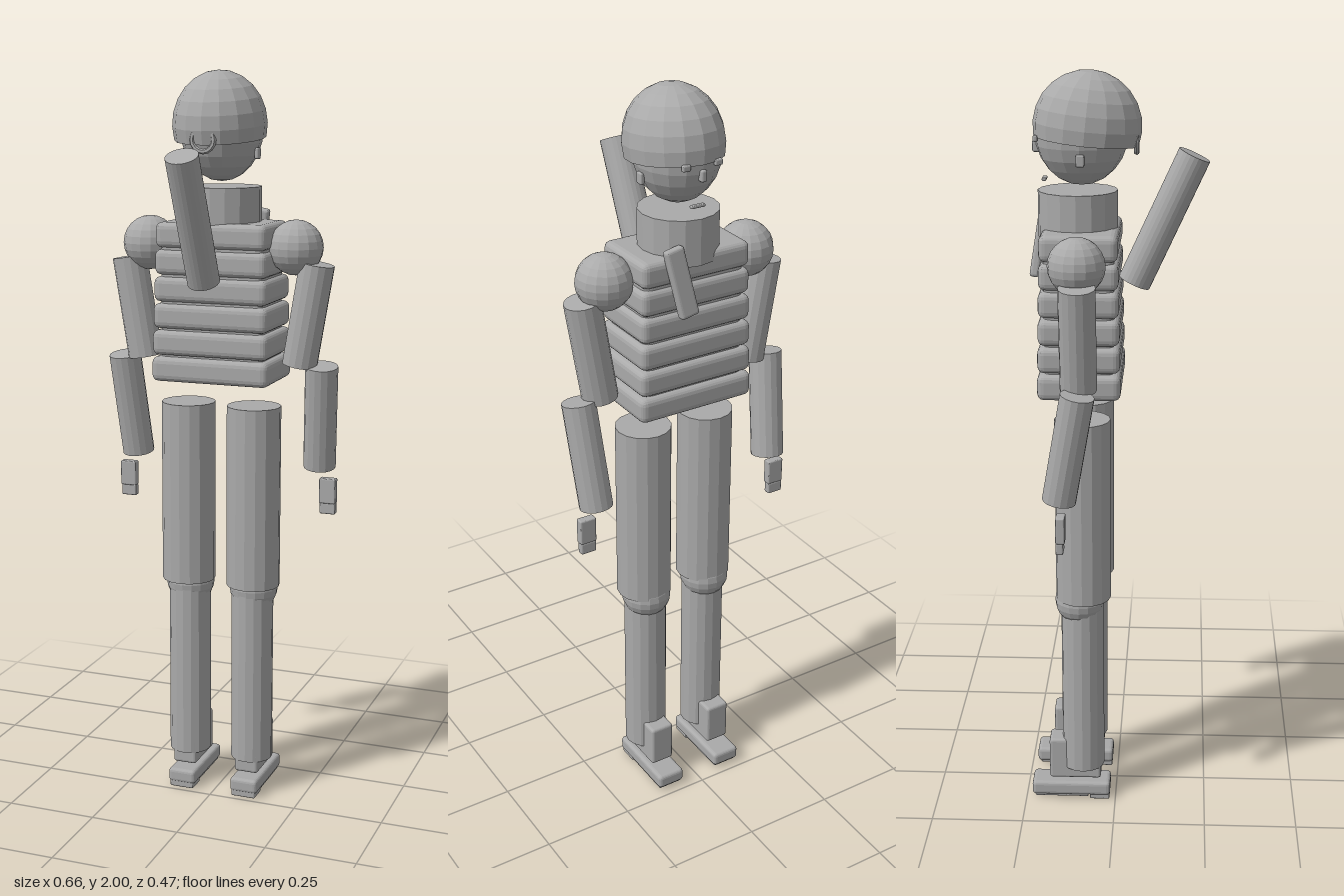
import * as THREE from 'three';
import { RoundedBoxGeometry } from 'three/addons/geometries/RoundedBoxGeometry.js';

const grey = new THREE.MeshStandardMaterial({ color: 0xaaaaaa, flatShading: true });
grey.name = 'plain grey';

export function createModel() {
  const model = new THREE.Group();
  model.name = 'jointedFigure';

  const add = (name, geometry, x = 0, y = 0, z = 0) => {
    const mesh = new THREE.Mesh(geometry, grey);
    mesh.name = name;
    mesh.position.set(x, y, z);
    model.add(mesh);
    return mesh;
  };
  const ball = (name, r, x, y, z) => add(name, new THREE.SphereGeometry(r, 16, 12), x, y, z);
  const block = (name, w, h, d, x, y, z, r = 0.008) =>
    add(name, new RoundedBoxGeometry(w, h, d, 2, r), x, y, z);
  // Cylinder running between two points
  const rod = (name, r, from, to, sides = 16) => {
    const a = new THREE.Vector3(...from), b = new THREE.Vector3(...to);
    const dir = b.clone().sub(a);
    const mesh = add(name, new THREE.CylinderGeometry(r, r, dir.length(), sides));
    mesh.position.copy(a).add(b).multiplyScalar(0.5);
    mesh.quaternion.setFromUnitVectors(new THREE.Vector3(0, 1, 0), dir.normalize());
    return mesh;
  };

  // Head and the closed hair cap over it
  ball('head', 1, 0, 1.848, -0.09).scale.set(0.108, 0.135, 0.12);
  const profile = [new THREE.Vector2(0, -0.25)];
  for (let i = 7; i >= 0; i--) {
    const t = (i / 7) * 1.83;
    profile.push(new THREE.Vector2(Math.max(0, Math.sin(t)), Math.cos(t)));
  }
  const hair = add('hair', new THREE.LatheGeometry(profile, 16), 0, 1.86, -0.075);
  hair.scale.set(0.123, 0.14, 0.139);
  hair.rotation.x = 0.1;
  add('hairRing', new THREE.TorusGeometry(0.03, 0.007, 6, 16), 0, 1.825, 0.05);

  // Small face details, the face looks towards -z
  for (const s of [-1, 1]) {
    block('eye', 0.022, 0.016, 0.012, s * 0.045, 1.835, -0.203, 0.004);
    block('ear', 0.012, 0.03, 0.022, s * 0.1, 1.787, -0.088, 0.004);
  }
  block('nose', 0.016, 0.03, 0.02, 0, 1.81, -0.205, 0.005);
  block('mouth', 0.04, 0.008, 0.012, 0, 1.728, -0.185, 0.003);

  // Neck
  rod('neck', 0.103, [0, 1.58, -0.1], [0, 1.7, -0.1]);

  // Torso: six stacked slabs around a narrower core
  block('torsoCore', 0.29, 0.41, 0.18, 0, 1.395, -0.092, 0.02);
  const slabs = 6, pitch = 0.43 / slabs;
  for (let i = 0; i < slabs; i++) {
    const taper = i / (slabs - 1);
    block('torsoSlab', 0.33 - 0.02 * taper, pitch - 0.004, 0.215 - 0.015 * taper,
      0, 1.18 + pitch * (i + 0.5), -0.092, 0.018);
  }

  // Tilted plate on the chest
  const plate = block('chestPlate', 0.052, 0.18, 0.025, 0.058, 1.55, -0.206, 0.008);
  plate.rotation.set(0.15, 0, -0.18);

  // Slanted tube behind the torso
  rod('backTube', 0.043, [0, 1.46, 0.045], [0, 1.79, 0.197], 24);

  for (const s of [-1, 1]) {
    // Arm
    ball('shoulder', 0.073, s * 0.207, 1.545, -0.092);
    rod('upperArm', 0.047, [s * 0.267, 1.505, -0.088], [s * 0.222, 1.233, -0.088]);
    rod('forearm', 0.044, [s * 0.284, 1.235, -0.087], [s * 0.267, 0.95, -0.137]);
    block('palm', 0.046, 0.07, 0.024, s * 0.294, 0.885, -0.132, 0.004);
    block('fingers', 0.044, 0.032, 0.02, s * 0.294, 0.836, -0.134, 0.004);

    // Leg
    rod('thigh', 0.074, [s * 0.095, 0.61, -0.087], [s * 0.095, 1.115, -0.087]);
    ball('knee', 0.067, s * 0.094, 0.6, -0.097);
    rod('shin', 0.058, [s * 0.093, 0.1, -0.09], [s * 0.093, 0.59, -0.09]);

    // Foot
    block('ankle', 0.068, 0.12, 0.143, s * 0.093, 0.125, -0.112);
    block('foot', 0.08, 0.04, 0.218, s * 0.093, 0.033, -0.124, 0.01);
    block('sole', 0.07, 0.016, 0.15, s * 0.093, 0.015, -0.15, 0.004);
    block('heel', 0.07, 0.02, 0.055, s * 0.093, 0.01, -0.044, 0.004);
  }
  return model;
}
